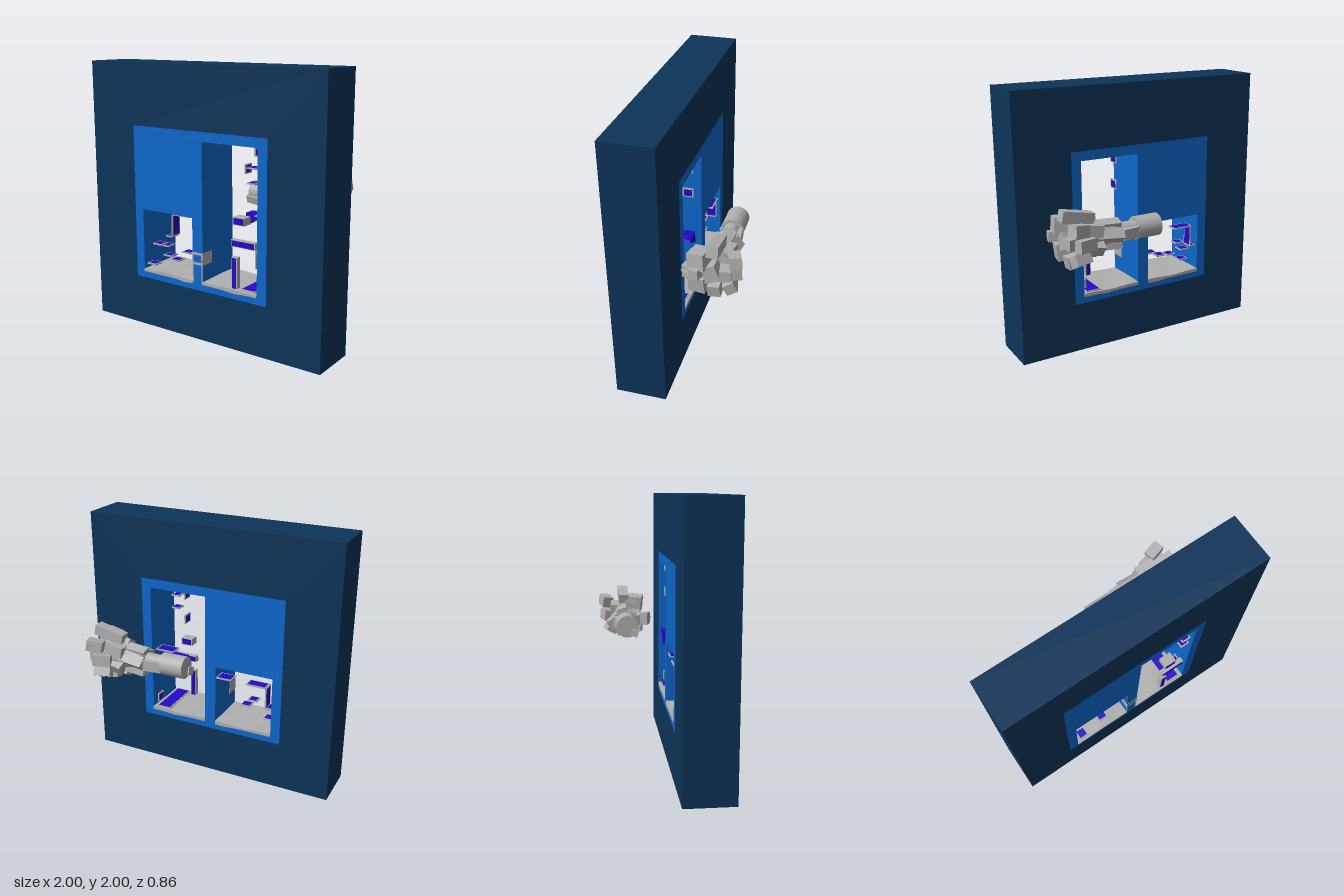
import * as THREE from 'three';

const mat = (name, color) => {
  const m = new THREE.MeshStandardMaterial({ color });
  m.name = name;
  return m;
};

export function createModel() {
  const root = new THREE.Group();
  const navy = mat('navy', 0x0d3459);
  const blue = mat('blue', 0x0d67cc);
  const violet = mat('violet', 0x2409c8);
  const grey = mat('grey', 0xb0b0b0);
  const Z0 = 0.05, Z1 = 0.42;

  const add = (parent, name, geo, material, x = 0, y = 0, z = 0) => {
    const mesh = new THREE.Mesh(geo, material);
    mesh.name = name;
    mesh.position.set(x, y, z);
    parent.add(mesh);
    return mesh;
  };
  const box = (parent, name, m, x, y, z, w, h, d) =>
    add(parent, name, new THREE.BoxGeometry(w, h, d), m, x, y, z);

  // Rectangular slab with rectangular openings, given as [x0, y0, x1, y1]
  const corners = ([a, b, c, d]) => [[a, b], [c, b], [c, d], [a, d]].map(p => new THREE.Vector2(...p));
  const slab = (name, m, outer, holes) => {
    const shape = new THREE.Shape(corners(outer));
    holes.forEach(h => shape.holes.push(new THREE.Path(corners(h).reverse())));
    add(root, name, new THREE.ExtrudeGeometry(shape, { depth: Z1 - Z0, bevelEnabled: false }), m, 0, 0, Z0);
  };
  const inner = [-0.6, 0.38, 0.57, 1.54];
  slab('outerWall', navy, [-1, 0, 1, 2], [inner]);
  slab('roomBlock', blue, inner, [[-0.525, 0.43, -0.06, 0.915], [0.03, 0.43, 0.495, 1.47]]);

  // Uneven floors in both rooms
  const floor = (name, x0, x1, dip) => {
    const w = x1 - x0;
    const geo = new THREE.BoxGeometry(w, 0.022, 0.382, 20, 1, 14);
    const p = geo.attributes.position;
    for (let i = 0; i < p.count; i++) {
      const u = p.getX(i) / w, v = p.getZ(i);
      const sag = Math.exp(-(((u - dip) / 0.15) ** 2)) * 0.008;
      if (p.getY(i) > 0) p.setY(i, p.getY(i) + 0.004 * Math.sin(u * 8 + v * 9));
      else p.setY(i, p.getY(i) - sag);
    }
    geo.computeVertexNormals();
    add(root, name, geo, grey, (x0 + x1) / 2, 0.441, (Z0 + Z1) / 2);
  };
  floor('leftRoomFloor', -0.525, -0.06, 0.35);
  floor('rightRoomFloor', 0.03, 0.495, 0.1);

  // Framed panel: grey rim with violet faces across its thinnest axis
  const panel = (name, x, y, z, w, h, d) => {
    const g = new THREE.Group();
    g.name = name;
    root.add(g);
    box(g, 'panelRim', grey, x, y, z, w, h, d);
    const size = [w, h, d], thin = size.indexOf(Math.min(...size));
    box(g, 'panelFace', violet, x, y, z,
      ...size.map((s, i) => (i === thin ? s + 0.003 : s - 0.02)));
  };
  const shelf = (name, x, y, z, w = 0.08, d = 0.08) => panel(name, x, y, z, w, 0.01, d);
  const upright = (name, x, y, z, h, d = 0.08) => panel(name, x, y, z, 0.01, h, d);

  // Left room: pairs of small shelves, then the larger panels
  for (const [x, y, z] of [[-0.46, 0.495, 0.375], [-0.26, 0.552, 0.35], [-0.485, 0.622, 0.28]]) {
    shelf('smallShelf', x, y, z);
  }
  shelf('smallShelf', -0.46, 0.512, 0.19);
  shelf('smallShelf', -0.26, 0.575, 0.21);
  shelf('smallShelf', -0.48, 0.592, 0.2);
  shelf('wallShelf', -0.497, 0.647, 0.12, 0.055, 0.09);
  upright('uprightPanel', -0.47, 0.735, 0.11, 0.17, 0.09);
  shelf('topShelf', -0.39, 0.823, 0.1, 0.16, 0.09);
  shelf('cornerShelf', -0.123, 0.823, 0.11, 0.125, 0.1);

  // Right room panels
  upright('highPanel', 0.205, 1.445, 0.1, 0.06);
  upright('middlePanel', 0.205, 1.255, 0.1, 0.07);
  upright('sidePanel', 0.465, 1.44, 0.37, 0.06);
  shelf('upperShelf', 0.435, 1.325, 0.37, 0.07);
  shelf('lowerShelf', 0.435, 1.22, 0.37, 0.07);
  shelf('rearShelf', 0.41, 0.94, 0.15, 0.16, 0.1);
  upright('lowSidePanel', 0.465, 0.69, 0.35, 0.13);
  upright('cornerPanel', 0.468, 0.52, 0.12, 0.07);
  shelf('floorPanel', 0.41, 0.458, 0.235, 0.12, 0.35);

  // Grey boxes with violet fronts and backs
  const block = (name, x, y, z, w, h, d) => {
    box(root, name, grey, x, y, z, w, h, d);
    box(root, name + 'Face', violet, x, y, z, w - 0.014, h - 0.01, d + 0.004);
  };
  block('crossBeam', 0.372, 0.785, 0.39, 0.2, 0.05, 0.04);
  block('floorPost', 0.3, 0.565, 0.39, 0.045, 0.235, 0.04);
  block('frontBox', 0.335, 0.945, 0.37, 0.095, 0.055, 0.08);
  const wedge = new THREE.Shape().moveTo(0.21, 0.84).lineTo(0.35, 0.92).lineTo(0.34, 0.94).lineTo(0.21, 0.935);
  add(root, 'wedge', new THREE.ExtrudeGeometry(wedge, { depth: 0.08, bevelEnabled: false }), violet, 0, 0, 0.05);

  // Bracket around the divider between the rooms
  for (const y of [0.582, 0.656]) box(root, 'dividerBar', grey, -0.015, y, 0.365, 0.094, 0.018, 0.114);
  for (const x of [-0.056, 0.026]) {
    box(root, 'dividerSide', grey, x, 0.619, 0.365, 0.012, 0.07, 0.114);
    box(root, 'dividerTrim', grey, x, 0.505, 0.418, 0.01, 0.14, 0.006);
  }

  // Floating arm behind the wall
  const arm = new THREE.Group();
  arm.name = 'blockArm';
  arm.position.set(0, 1.0, -0.235);
  root.add(arm);
  const barrel = (name, x0, x1, r0, r1, n) => {
    const geo = new THREE.CylinderGeometry(r1, r0, x1 - x0, n).rotateZ(-Math.PI / 2);
    add(arm, name, geo, grey, (x0 + x1) / 2, 0.01, 0);
  };
  barrel('armCuff', 0.04, 0.23, 0.083, 0.083, 24);
  barrel('armNeck', 0.22, 0.38, 0.058, 0.058, 20);
  barrel('armFlare', 0.36, 0.56, 0.075, 0.095, 8);
  barrel('armCore', 0.54, 0.7, 0.1, 0.12, 8);

  // Loose blocks that lean outward from the arm's axis
  const chunk = (name, x, y, z, length, size, roll) =>
    box(arm, name, grey, x, y, z, length, size, size).rotation.set(roll, -2 * z, 1.2 * y);
  chunk('cuffPlate', 0.11, -0.04, 0.06, 0.17, 0.06, 0.3);
  chunk('neckBox', 0.29, 0, -0.045, 0.14, 0.08, 0);
  chunk('neckPlate', 0.3, -0.05, 0.06, 0.17, 0.055, 0.2);
  for (let i = 0; i < 5; i++) {
    const a = i * Math.PI * 0.4 + 0.5;
    chunk('flareBlock', 0.46, 0.065 * Math.sin(a), 0.06 * Math.cos(a), 0.2, 0.08, 0.3 + i);
    chunk('innerBlock', 0.6, 0.1 * Math.sin(a + 0.6), 0.09 * Math.cos(a + 0.6), 0.15, 0.085, 0.6 + i);
  }
  chunk('topBlock', 0.68, 0.165, 0, 0.24, 0.08, 0);
  chunk('upperBackBlock', 0.73, 0.11, -0.14, 0.12, 0.085, 0.1);
  chunk('smallBackBlock', 0.76, 0.105, -0.165, 0.05, 0.055, 0);
  chunk('upperFrontBlock', 0.74, 0.09, 0.1, 0.14, 0.12, 0.1);
  chunk('outerBlock', 0.81, 0.02, 0.11, 0.07, 0.07, 0.1);
  chunk('sideBlock', 0.7, -0.04, 0.165, 0.1, 0.1, 0);
  chunk('lowerFrontBlock', 0.73, -0.09, 0.1, 0.13, 0.12, 0.05);
  chunk('endBlock', 0.74, 0.01, -0.08, 0.12, 0.08, 0);
  chunk('backBlock', 0.68, 0, -0.13, 0.14, 0.085, 0.1);
  chunk('lowerBackBlock', 0.7, -0.11, -0.1, 0.13, 0.08, 0.5);
  chunk('bottomBlock', 0.69, -0.14, 0, 0.15, 0.09, 0.1);
  chunk('middleBlock', 0.74, 0, 0.02, 0.1, 0.12, 0.4);
  const spike = add(arm, 'armSpike', new THREE.ConeGeometry(0.05, 0.08, 4), grey, 0.73, -0.04, 0.2);
  spike.rotation.x = Math.PI / 2;

  return root;
}
